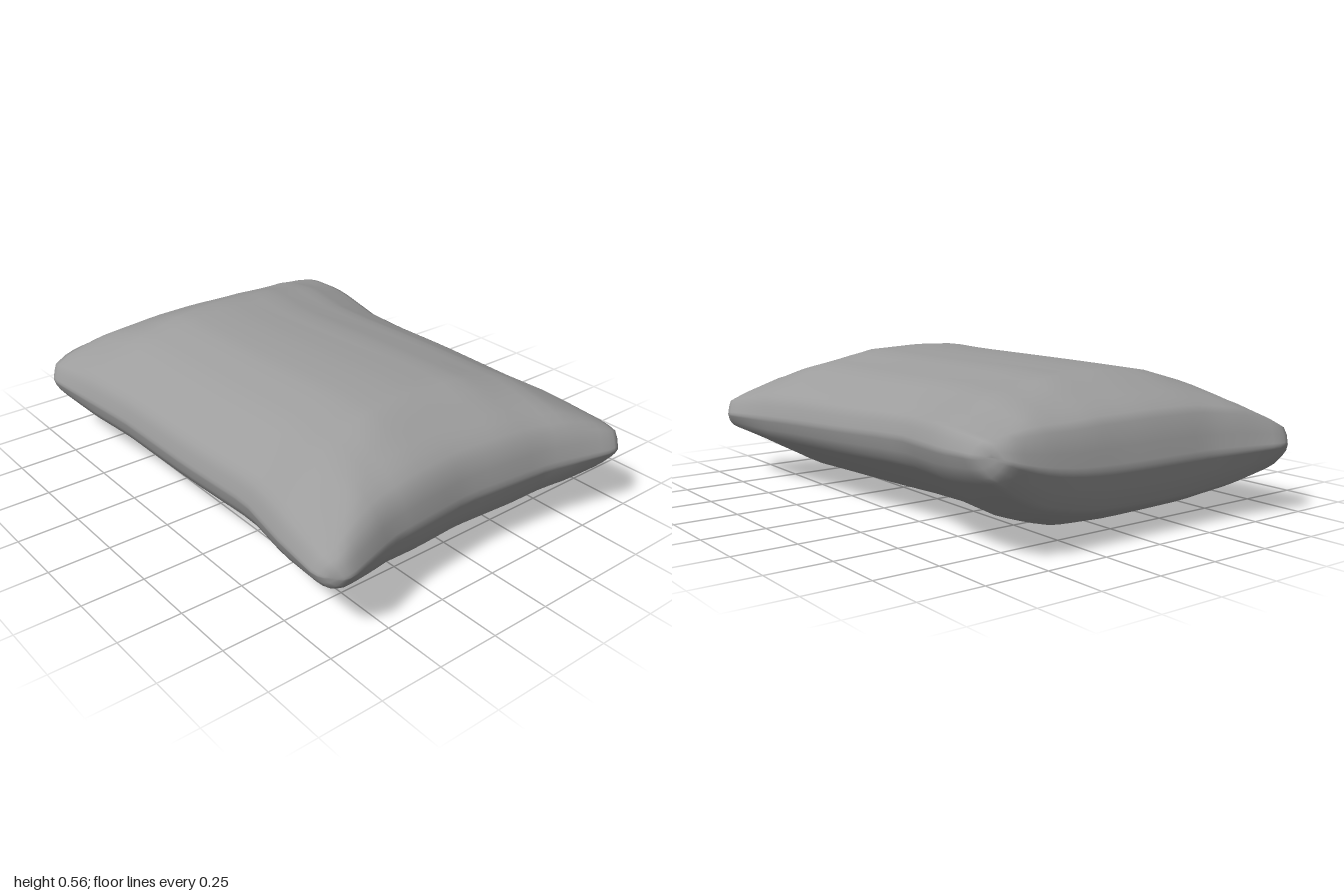
import * as THREE from 'three';
import { mergeGeometries, mergeVertices } from 'three/addons/utils/BufferGeometryUtils.js';

// Piecewise interpolation through [position, value] keys
function along(keys, t) {
  let i = 1;
  while (i < keys.length - 1 && t > keys[i][0]) i++;
  const [a, va] = keys[i - 1], [b, vb] = keys[i];
  return THREE.MathUtils.lerp(va, vb, THREE.MathUtils.clamp((t - a) / (b - a), 0, 1));
}

// Outline of the pillow; u runs right to left (-x to +x), v runs back to front, both -1..1
const rightEdge = [[-1, -0.71], [-0.97, -0.735], [-0.92, -0.74], [-0.4, -0.695], [0.05, -0.69],
  [0.44, -0.67], [0.7, -0.715], [0.92, -0.74], [0.97, -0.735], [1, -0.71]];
const leftEdge = [[-1, 0.65], [-0.97, 0.675], [-0.92, 0.69], [-0.74, 0.685], [-0.38, 0.62], [-0.2, 0.627],
  [0.05, 0.655], [0.45, 0.68], [0.9, 0.735], [0.95, 0.74], [1, 0.71]];
const backEdge = [[-1, -0.96], [-0.96, -0.99], [-0.88, -1], [-0.4, -0.95], [0.25, -0.94],
  [0.9, -0.95], [0.96, -0.935], [1, -0.9]];
const frontEdge = [[-1, 0.95], [-0.96, 0.98], [-0.91, 0.99], [-0.57, 0.92], [-0.05, 0.89],
  [0.5, 0.925], [0.9, 0.995], [0.96, 0.99], [1, 0.95]];

// Fullness across the width and along the length, with a blunt rim
const widthBulge = [[-1, 0], [-0.97, 0.28], [-0.85, 0.48], [-0.65, 0.75], [-0.35, 0.96], [-0.05, 1],
  [0.3, 0.96], [0.65, 0.75], [0.85, 0.48], [0.97, 0.28], [1, 0]];
const lengthBulge = [[-1, 0], [-0.96, 0.52], [-0.9, 0.68], [-0.65, 1], [0.65, 1], [0.9, 0.64], [0.97, 0.42], [1, 0]];

// One cushion face: side is +1 for the top, -1 for the underside
function cushionFace(side) {
  const geo = new THREE.PlaneGeometry(2, 2, 32, 32);
  const pos = geo.attributes.position;
  const depth = side > 0 ? 0.293 : 0.272;
  for (let i = 0; i < pos.count; i++) {
    // Crowd the grid towards the rim, where the cloth curves most
    const u = Math.sin(pos.getX(i) * Math.PI / 2);
    const v = Math.sin(-side * pos.getY(i) * Math.PI / 2);
    const x = THREE.MathUtils.lerp(along(rightEdge, v), along(leftEdge, v), (u + 1) / 2);
    const z = THREE.MathUtils.lerp(along(backEdge, u), along(frontEdge, u), (v + 1) / 2);
    const across = along(widthBulge, u);
    const length = along(lengthBulge, v);
    // The thinner direction dominates, which keeps the corners from pinching
    const bulge = Math.min(across, length) * Math.pow(Math.max(across, length), 0.7);
    // The seam lifts towards the back left corner
    const seam = 0.272 + 0.1 * Math.pow(Math.max(0, u), 3) * (1 - v) / 2;
    pos.setXYZ(i, x, seam + side * depth * bulge, z);
  }
  geo.deleteAttribute('uv');
  geo.deleteAttribute('normal');
  return geo;
}

export function createModel() {
  const group = new THREE.Group();
  group.name = 'pillow';
  // Weld both faces along the seam for a smooth rim
  const geo = mergeVertices(mergeGeometries([cushionFace(1), cushionFace(-1)]), 1e-5);
  geo.computeVertexNormals();
  const cushion = new THREE.Mesh(geo, new THREE.MeshStandardMaterial({ color: 0x9d9d9d }));
  cushion.name = 'cushion';
  group.add(cushion);
  return group;
}
